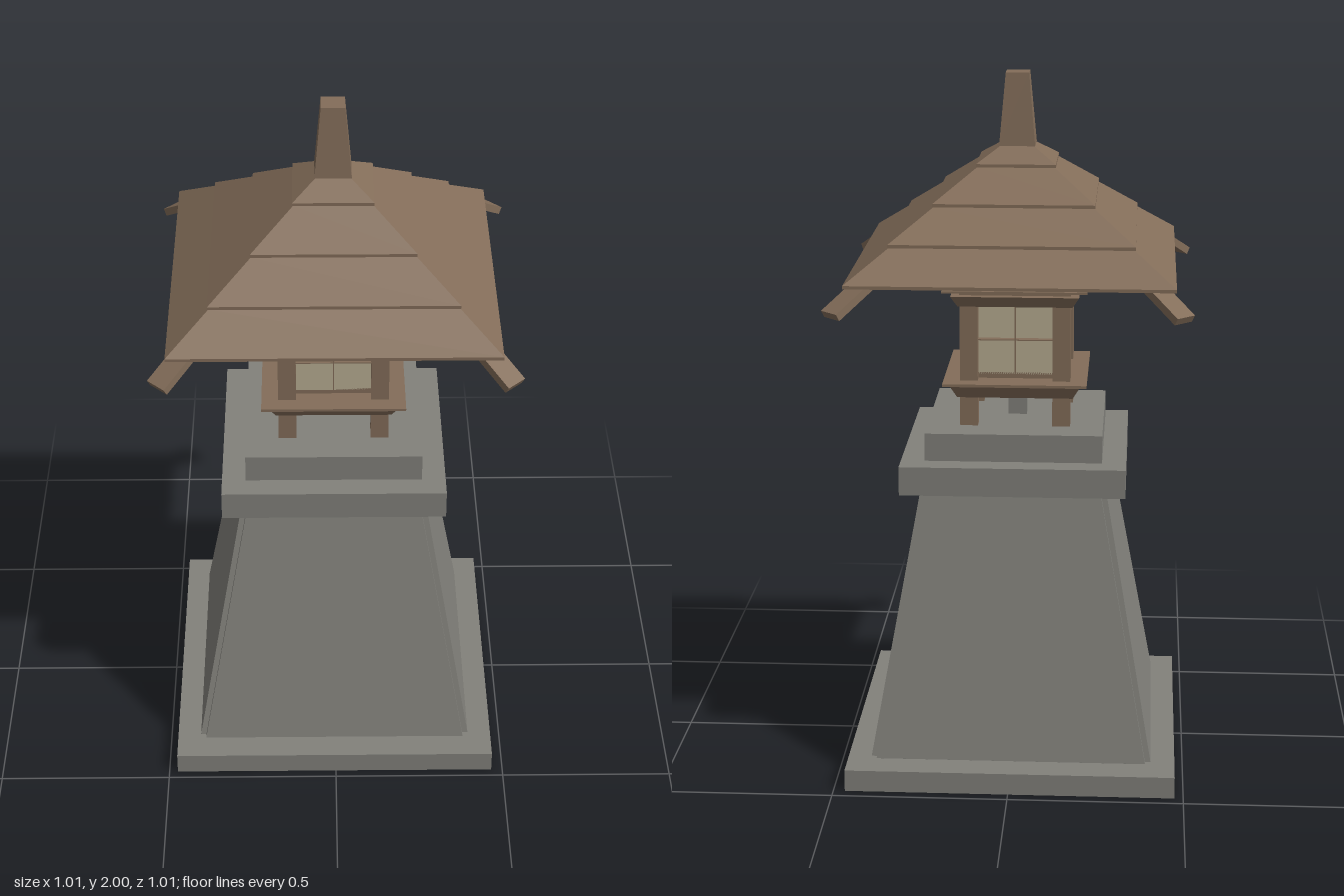
import * as THREE from 'three';

const stone = new THREE.MeshStandardMaterial({ name: 'stone', color: 0x82817b });
const wood = new THREE.MeshStandardMaterial({ name: 'wood', color: 0x836d59, side: THREE.DoubleSide });
const paper = new THREE.MeshStandardMaterial({ name: 'paper', color: 0xb8ad92 });

// Box between y0 and y1 with half sizes [x, z] at the bottom and the top
function block(name, mat, y0, y1, bottom, top = bottom) {
  const geo = new THREE.BoxGeometry(2, 1, 2);
  const p = geo.attributes.position;
  for (let i = 0; i < p.count; i++) {
    const up = p.getY(i) > 0;
    const [hx, hz] = up ? top : bottom;
    p.setXYZ(i, p.getX(i) * hx, up ? y1 : y0, p.getZ(i) * hz);
  }
  geo.computeVertexNormals();
  const mesh = new THREE.Mesh(geo, mat);
  mesh.name = name;
  return mesh;
}

const square = (name, mat, y0, y1, a, b = a) => block(name, mat, y0, y1, [a, a], [b, b]);

export function createModel() {
  const model = new THREE.Group();
  model.name = 'stoneLantern';
  const main = new THREE.Group();
  main.name = 'tower';
  main.position.set(-0.004, 0, 0.004);
  model.add(main);

  // Stone pedestal: two crossed tapering blocks leave notched corners
  const n = 0.016;
  main.add(
    square('basePlinth', stone, 0, 0.063, 0.471),
    square('pedestalFoot', stone, 0.06, 0.08, 0.38),
    block('pedestalBodyA', stone, 0.073, 0.845, [0.402, 0.402 - n], [0.264, 0.264 - n]),
    block('pedestalBodyB', stone, 0.073, 0.845, [0.402 - n, 0.402], [0.264 - n, 0.264]),
    square('pedestalLedge', stone, 0.842, 0.925, 0.32),
    square('pedestalCap', stone, 0.925, 1.005, 0.252),
    square('centrePost', stone, 1.0, 1.1, 0.027),
  );

  // Lantern floor and top trims
  main.add(
    square('floorMoulding', wood, 1.09, 1.13, 0.165, 0.187),
    square('floorPlate', wood, 1.13, 1.138, 0.205),
    square('floorSill', wood, 1.138, 1.155, 0.125),
    square('topMoulding', wood, 1.355, 1.387, 0.163, 0.182),
    square('topSpacer', wood, 1.387, 1.402, 0.158),
    square('topPlate', wood, 1.402, 1.408, 0.205),
  );

  // Corner posts
  for (const sx of [-1, 1]) for (const sz of [-1, 1]) {
    const post = square('cornerPost', wood, 1.0, 1.56, 0.0255);
    post.position.set(sx * 0.132, 0, sz * 0.132);
    main.add(post);
  }

  // Paper windows with thin projecting glazing bars
  for (let i = 0; i < 4; i++) {
    const side = new THREE.Group();
    side.name = 'window';
    const pane = block('windowPane', paper, 1.15, 1.357, [0.11, 0.004]);
    pane.position.z = 0.121;
    side.add(pane);
    const upright = block('uprightBar', wood, 1.155, 1.355, [0.0015, 0.011]);
    const cross = block('crossBar', wood, 1.2535, 1.2565, [0.107, 0.011]);
    upright.position.z = cross.position.z = 0.135;
    side.add(upright, cross);
    side.rotation.y = i * Math.PI / 2;
    main.add(side);
  }

  // Hollow four-sided roof with stepped courses
  const roofY = h => 1.472 + (0.452 - h) * 0.82;
  const tiers = [0.452, 0.34, 0.226, 0.112, 0.045];
  const profile = [];
  const point = (h, y) => profile.push(new THREE.Vector2(h * Math.SQRT2, y));
  for (let k = 0; k < 4; k++) {
    point(tiers[k], roofY(tiers[k]) - 0.007);
    point(tiers[k], roofY(tiers[k]) + 0.002);
    point(tiers[k + 1] - 0.003, roofY(tiers[k + 1]) - 0.007);
  }
  const roofGeo = new THREE.LatheGeometry(profile, 4, Math.PI / 4).toNonIndexed();
  roofGeo.computeVertexNormals();
  const roof = new THREE.Mesh(roofGeo, wood);
  roof.name = 'roof';
  main.add(roof);
  main.add(square('finial', wood, 1.795, 2.0, 0.051, 0.033));

  // Hip rafters running under the roof corners and past the eaves
  const low = new THREE.Vector3(0, 1.398, 0.478 * Math.SQRT2);
  const high = new THREE.Vector3(0, 1.745, 0.06 * Math.SQRT2);
  for (let i = 0; i < 4; i++) {
    const arm = new THREE.Group();
    arm.name = 'hipRafter';
    const beam = new THREE.Mesh(new THREE.BoxGeometry(0.066, 0.022, low.distanceTo(high)), wood);
    beam.name = 'rafterBeam';
    beam.position.copy(low).add(high).multiplyScalar(0.5);
    beam.rotation.x = Math.atan2(high.y - low.y, low.z - high.z);
    arm.add(beam);
    arm.rotation.y = Math.PI / 4 + i * Math.PI / 2;
    model.add(arm);
  }
  return model;
}
